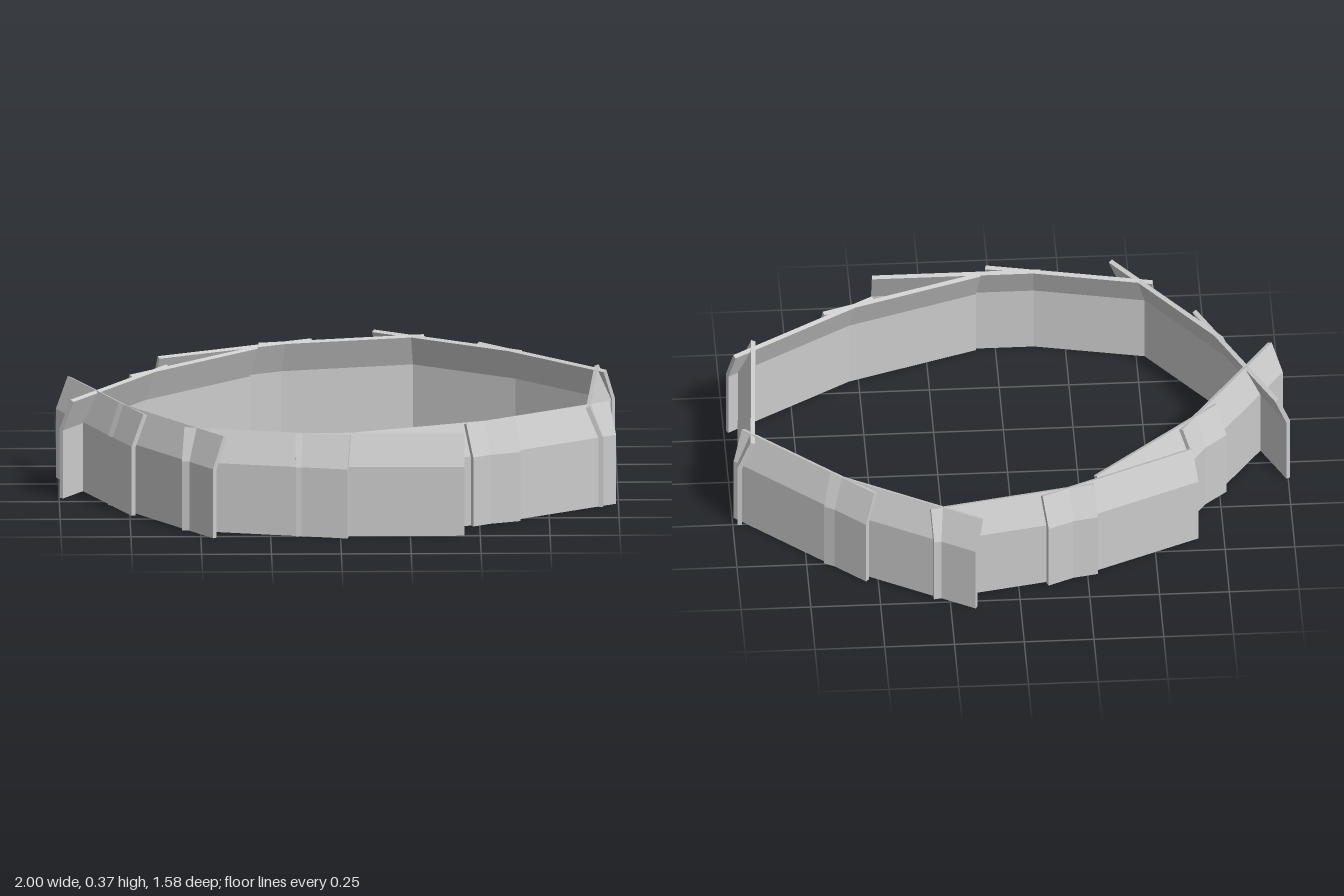
import * as THREE from 'three';

const LENGTH = 0.604;

// Centre line of each panel seen from above: start x, z and end x, z
const PANELS = [
  [-0.16, 0.718, 0.444, 0.718],
  [0.067, 0.709, 0.636, 0.516],
  [0.46, 0.594, 0.976, 0.278],
  [0.914, 0.348, 0.952, -0.251],
  [0.973, -0.187, 0.524, -0.588],
  [0.668, -0.471, 0.15, -0.765],
  [0.307, -0.7, -0.275, -0.588],
  [-0.094, -0.647, -0.647, -0.401],
  [-0.299, -0.535, -0.754, -0.139],
  [-0.625, -0.278, -0.973, 0.214],
  [-0.979, -0.102, -0.717, 0.437],
  [-0.797, 0.283, -0.436, 0.749],
  [-0.556, 0.631, 0.027, 0.752],
];

// Bent plate: upright wall with its top leaning inwards (x is outwards)
function makePanelGeometry() {
  const profile = new THREE.Shape([
    [0.031, 0], [0.031, 0.255], [-0.016, 0.37],
    [-0.031, 0.364], [0.015, 0.252], [0.015, 0],
  ].map(([x, y]) => new THREE.Vector2(x, y)));
  const geometry = new THREE.ExtrudeGeometry(profile, { depth: LENGTH, bevelEnabled: false });
  return geometry.translate(0, 0, -LENGTH / 2);
}

export function createModel() {
  const group = new THREE.Group();
  group.name = 'wallRing';
  const material = new THREE.MeshStandardMaterial({ color: 0xcccccc, flatShading: true });
  const geometry = makePanelGeometry();

  // Overlapping identical panels laid around the ring
  PANELS.forEach(([x1, z1, x2, z2], i) => {
    const panel = new THREE.Mesh(geometry, material);
    panel.name = `wallPanel${i + 1}`;
    panel.position.set((x1 + x2) / 2, 0, (z1 + z2) / 2);
    panel.rotation.y = Math.atan2(x1 - x2, z1 - z2);
    group.add(panel);
  });
  return group;
}
